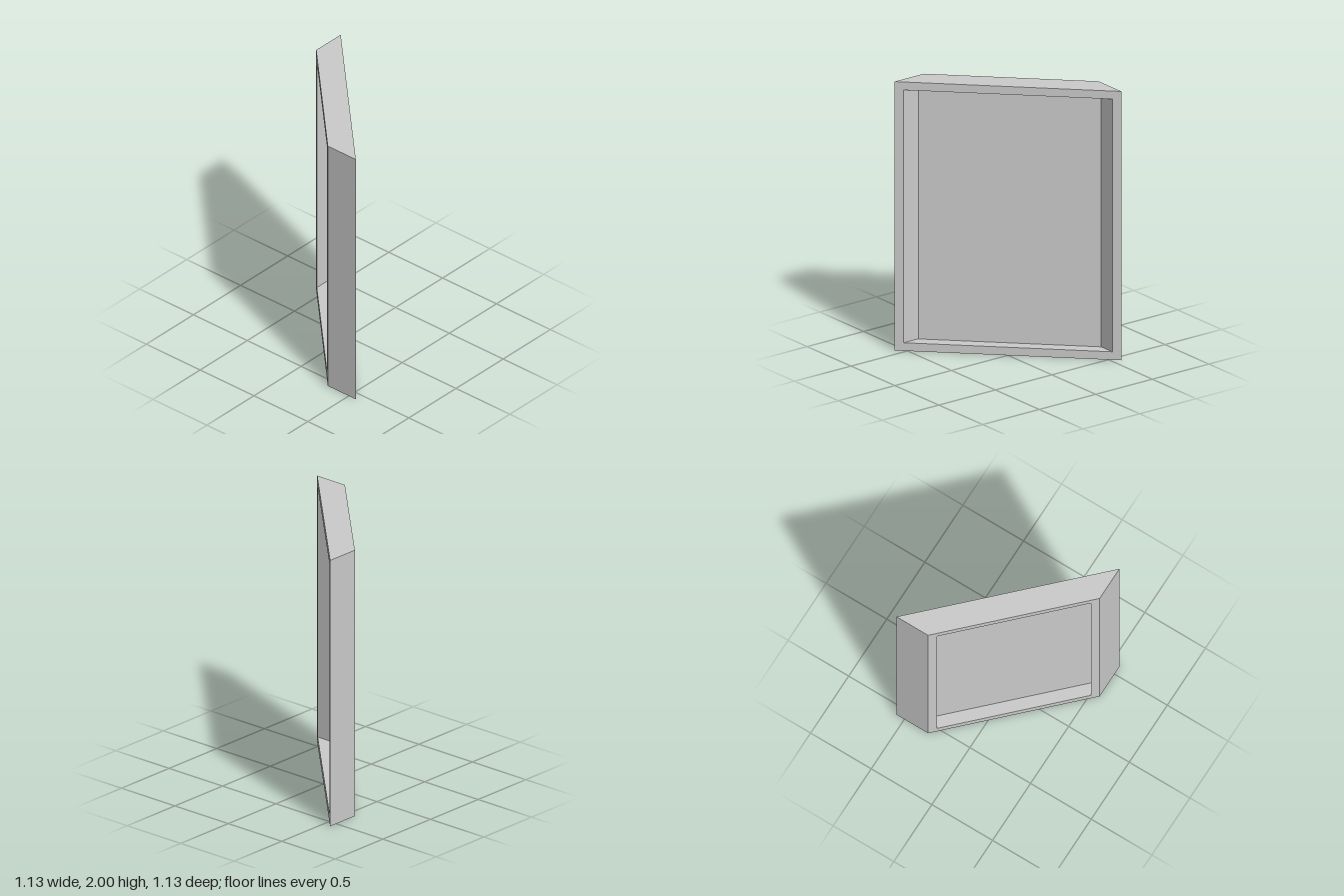
import * as THREE from 'three';

const HEIGHT = 2;
const DEPTH = 0.184; // both ends are mitred at 45 degrees over this depth
const BORDER = 0.06;

// Corners of an upright rectangle, counter-clockwise from the front
const ring = (half, inset, z) => [
  [-half, inset, z], [half, inset, z],
  [half, HEIGHT - inset, z], [-half, HEIGHT - inset, z],
];

// Closed frame swept through a loop of rectangular rings
function frameGeometry(rings) {
  const positions = [];
  rings.forEach((a, i) => {
    const b = rings[(i + 1) % rings.length];
    for (let j = 0; j < 4; j++) {
      const k = (j + 1) % 4;
      positions.push(...a[j], ...b[j], ...b[k], ...a[j], ...b[k], ...a[k]);
    }
  });
  const geometry = new THREE.BufferGeometry();
  geometry.setAttribute('position', new THREE.Float32BufferAttribute(positions, 3));
  geometry.computeVertexNormals();
  return geometry;
}

export function createModel() {
  const group = new THREE.Group();
  const material = new THREE.MeshStandardMaterial({ color: 0xcccccc });

  // Mitred frame: outer front, outer back, inner back, inner front
  const outer = 0.799, inner = 0.735;
  const frame = new THREE.Mesh(frameGeometry([
    ring(outer, 0, 0),
    ring(outer - DEPTH, 0, -DEPTH),
    ring(inner - DEPTH, BORDER, -DEPTH),
    ring(inner, BORDER, 0),
  ]), material);
  frame.name = 'frame';

  // Thin panel halfway through the opening
  const panel = new THREE.Mesh(
    new THREE.BoxGeometry(2 * (inner - DEPTH / 2), HEIGHT - 2 * BORDER, 0.004), material);
  panel.position.set(0, HEIGHT / 2, -DEPTH / 2);
  panel.name = 'panel';

  // The whole unit stands diagonally
  const unit = new THREE.Group();
  unit.name = 'diagonalWindow';
  unit.rotation.y = Math.PI / 4;
  unit.add(frame, panel);
  group.add(unit);
  return group;
}
